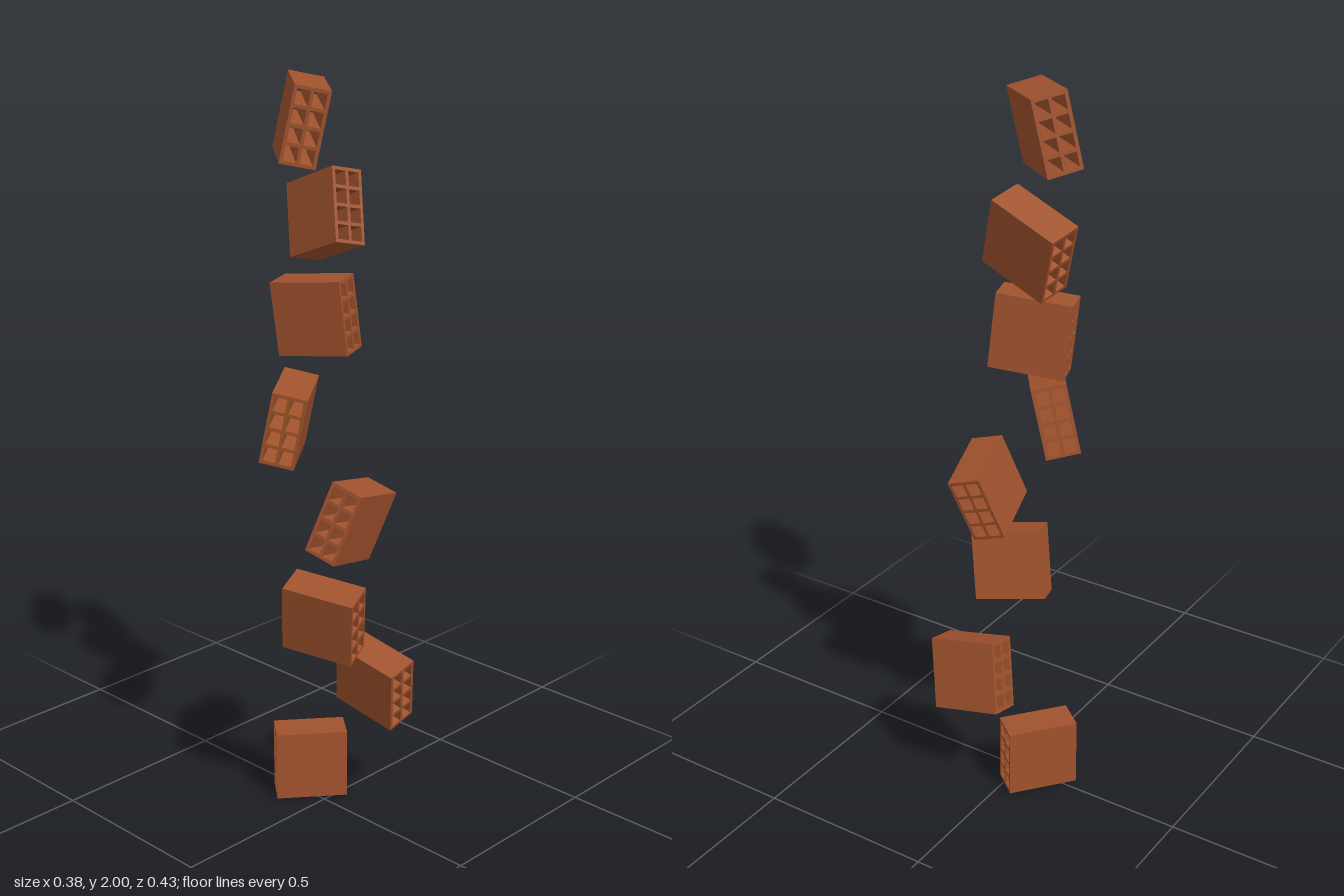
import * as THREE from 'three';

const WIDTH = 0.093, HEIGHT = 0.197, LENGTH = 0.197;
const COLS = 2, ROWS = 4, WALL = 0.009;

// Rectangle outline, wound either way
function rectangle(path, x, y, w, h) {
  path.moveTo(x, y);
  path.lineTo(x + w, y);
  path.lineTo(x + w, y + h);
  path.lineTo(x, y + h);
  path.closePath();
  return path;
}

// Hollow block: a rectangular section with a grid of through-holes along z
function blockGeometry() {
  const section = rectangle(new THREE.Shape(), -WIDTH / 2, -HEIGHT / 2, WIDTH, HEIGHT);
  const w = (WIDTH - WALL * (COLS + 1)) / COLS;
  const h = (HEIGHT - WALL * (ROWS + 1)) / ROWS;
  for (let i = 0; i < COLS; i++) {
    for (let j = 0; j < ROWS; j++) {
      const x = -WIDTH / 2 + WALL + i * (w + WALL);
      const y = -HEIGHT / 2 + WALL + j * (h + WALL);
      section.holes.push(rectangle(new THREE.Path(), x, y, w, h));
    }
  }
  const geometry = new THREE.ExtrudeGeometry(section, { depth: LENGTH, bevelEnabled: false });
  geometry.translate(0, 0, -LENGTH / 2);
  return geometry;
}

// Each block, bottom to top: centre, hole axis, upward axis
const BLOCKS = [
  { at: [0.015, 0.0985, -0.07], axis: [0.15, 0, 0.122], up: [0, 1, 0] },
  { at: [0.113, 0.36, 0.083], axis: [0.0125, -0.04, 0.191], up: [-0.046, 0.19, 0.036] },
  { at: [-0.095, 0.612, 0.09], axis: [0.071, -0.023, 0.179], up: [-0.037, 0.19, 0.037] },
  { at: [-0.018, 0.869, 0.115], axis: [0.184, -0.045, -0.048], up: [0.045, 0.185, 0.047] },
  { at: [-0.075, 1.125, -0.055], axis: [0.155, 0.014, -0.113], up: [0.012, 0.19, 0.04] },
  { at: [0.031, 1.382, -0.061], axis: [0.065, 0.02, 0.185], up: [-0.018, 0.195, -0.016] },
  { at: [0.09, 1.635, -0.085], axis: [-0.018, 0.067, 0.18], up: [0.05, 0.18, -0.065] },
  { at: [-0.027, 1.89, -0.053], axis: [0.125, 0.014, -0.15], up: [0.02, 0.19, 0.037] },
];

export function createModel() {
  const model = new THREE.Group();
  model.name = 'tumblingBlocks';

  const clay = new THREE.MeshStandardMaterial({ color: 0xa0522d });
  clay.name = 'fired clay';
  const geometry = blockGeometry();

  BLOCKS.forEach(({ at, axis, up }, i) => {
    const block = new THREE.Mesh(geometry, clay);
    block.name = `hollowBlock${i + 1}`;
    // Orthonormal frame from the two axes
    const z = new THREE.Vector3(...axis).normalize();
    const x = new THREE.Vector3(...up).cross(z).normalize();
    const y = new THREE.Vector3().crossVectors(z, x);
    block.quaternion.setFromRotationMatrix(new THREE.Matrix4().makeBasis(x, y, z));
    block.position.set(...at);
    model.add(block);
  });
  return model;
}
